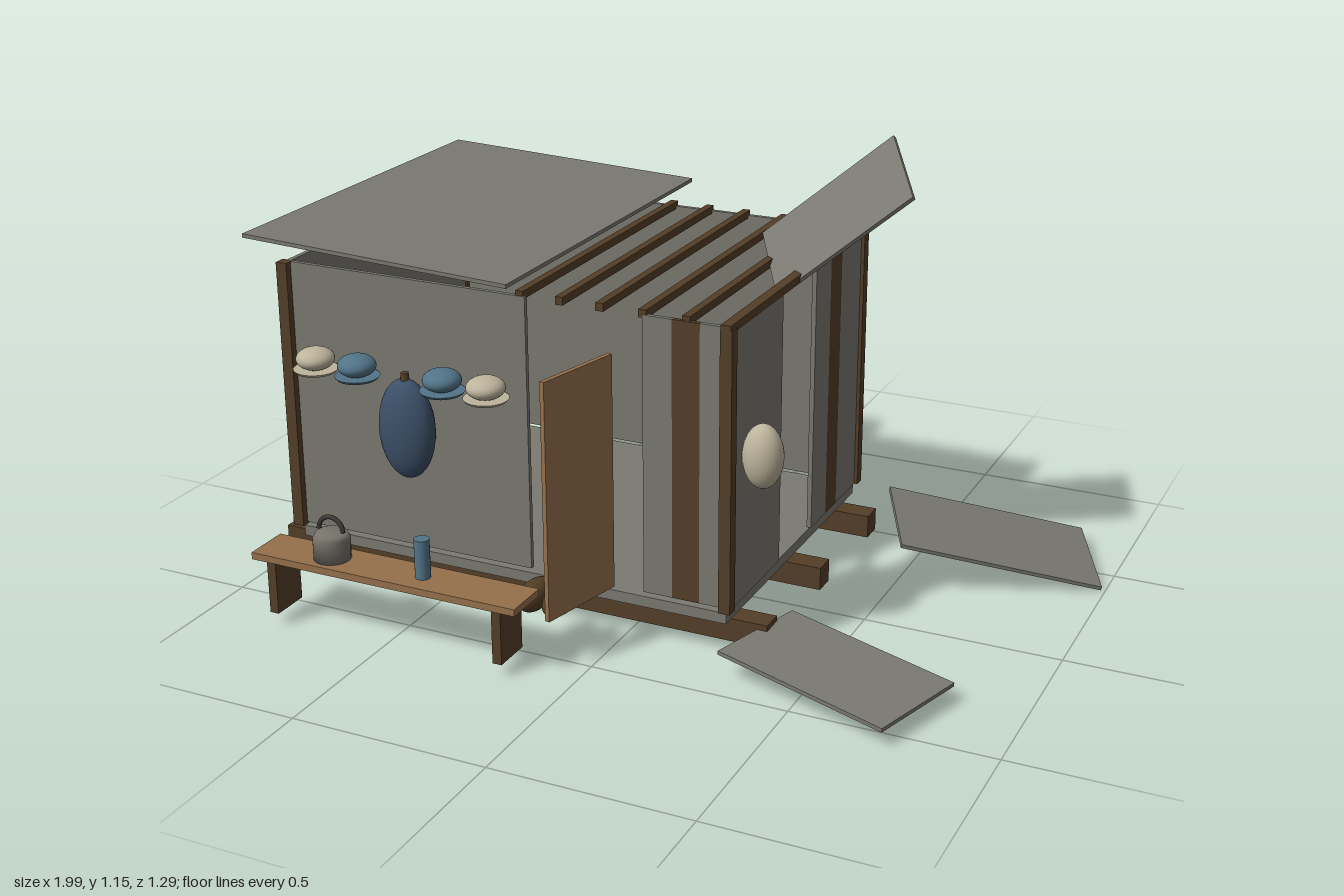
import * as THREE from 'three';

const mat = (name, color) => {
  const m = new THREE.MeshStandardMaterial({ color });
  m.name = name;
  return m;
};

export function createModel() {
  const group = new THREE.Group();
  const grey = mat('weathered grey', 0x7a7971);
  const dark = mat('dark timber', 0x543f27);
  const wood = mat('light wood', 0x96704b);
  const cream = mat('cream', 0xbdb49c);
  const blue = mat('glazed blue', 0x527488);
  const navy = mat('dark blue', 0x3c5068);
  const metal = mat('dull metal', 0x77746c);
  const iron = mat('iron', 0x3c3b38);

  const add = (name, geo, m, x = 0, y = 0, z = 0) => {
    const mesh = new THREE.Mesh(geo, m);
    mesh.name = name;
    mesh.position.set(x, y, z);
    group.add(mesh);
    return mesh;
  };
  // box given by its limits on each axis
  const box = (name, m, x0, x1, y0, y1, z0, z1) =>
    add(name, new THREE.BoxGeometry(x1 - x0, y1 - y0, z1 - z0), m, (x0 + x1) / 2, (y0 + y1) / 2, (z0 + z1) / 2);
  const ball = (name, m, x, y, z, rx, ry, rz) =>
    add(name, new THREE.SphereGeometry(1, 28, 18), m, x, y, z).scale.set(rx, ry, rz);
  // thin board from one corner and its two neighbours
  const board = (name, m, corner, endA, endB, t) => {
    const o = new THREE.Vector3(...corner);
    const a = new THREE.Vector3(...endA).sub(o);
    const b = new THREE.Vector3(...endB).sub(o);
    const n = new THREE.Vector3().crossVectors(b, a).normalize();
    const geo = new THREE.BoxGeometry(a.length(), t, b.length());
    const mesh = add(name, geo, m);
    mesh.position.copy(o).addScaledVector(a, 0.5).addScaledVector(b, 0.5);
    const ax = a.clone().normalize();
    const bz = new THREE.Vector3().crossVectors(ax, n);
    mesh.quaternion.setFromRotationMatrix(new THREE.Matrix4().makeBasis(ax, n, bz));
  };

  // base: skids and floor
  for (const z of [0.26, -0.085, -0.43]) box('skid', dark, -1, 0.36, 0.03, 0.09, z - 0.03, z + 0.03);
  box('floor', grey, -0.91, 0.275, 0.1, 0.128, -0.51, 0.34);

  // solid walls
  box('backWall', grey, -0.91, 0.28, 0.135, 0.84, -0.52, -0.508);
  box('endWall', grey, -0.917, -0.905, 0.135, 0.84, -0.51, 0.335);
  box('frontWall', grey, -0.905, -0.245, 0.14, 0.84, 0.328, 0.34);

  // plank walls around the two openings: [from, to, material]
  for (const [a, b, m] of [[0.06, 0.135, grey], [0.135, 0.205, dark], [0.205, 0.27, grey]])
    box('frontPlank', m, a, b, 0.14, 0.84, 0.328, 0.34);
  for (const [a, b, m] of [[0.035, 0.335, grey], [-0.28, -0.18, grey], [-0.355, -0.28, dark], [-0.5, -0.355, grey]])
    box('sidePlank', m, 0.272, 0.284, 0.135, 0.84, a, b);

  // corner posts
  for (const x of [-0.915, 0.278])
    for (const z of [0.344, -0.508]) box('cornerPost', dark, x - 0.015, x + 0.015, 0.135, 0.84, z - 0.015, z + 0.015);

  // open roof frame and remaining roof sheet
  for (const x of [-0.26, -0.155, -0.05, 0.06, 0.17])
    box('rafter', dark, x - 0.01, x + 0.01, 0.832, 0.852, -0.52, 0.338);
  box('endRail', dark, 0.265, 0.29, 0.832, 0.852, -0.525, 0.36);
  board('roofSheet', grey, [-0.975, 0.92, -0.6], [-0.245, 0.89, -0.6], [-0.975, 0.92, 0.425], 0.01);

  // displaced boards
  board('looseRoofBoard', grey, [0.12, 0.885, -0.24], [0.43, 1.15, -0.31], [0.235, 0.79, -0.04], 0.01);
  board('fallenBoard', grey, [0.375, 0.072, 0.165], [0.83, 0.05, 0.305], [0.29, 0.07, 0.425], 0.01);
  board('fallenBoard', grey, [0.415, 0.181, -0.405], [0.87, 0.048, -0.65], [0.535, 0.141, -0.16], 0.01);

  // open door
  board('door', wood, [-0.022, 0.14, 0.342], [-0.075, 0.14, 0.575], [-0.022, 0.735, 0.342], 0.012);

  // bench
  box('benchTop', wood, -0.855, -0.125, 0.172, 0.19, 0.52, 0.64);
  for (const x of [-0.803, -0.178]) box('benchLeg', dark, x - 0.012, x + 0.012, 0.035, 0.172, 0.535, 0.635);

  // kettle and tumbler on the bench
  const kettle = [[0, 0], [0.046, 0], [0.046, 0.055], [0.038, 0.068], [0, 0.07]].map(p => new THREE.Vector2(...p));
  add('kettle', new THREE.LatheGeometry(kettle, 24), metal, -0.66, 0.19, 0.58);
  add('kettleHandle', new THREE.TorusGeometry(0.034, 0.006, 8, 20, Math.PI), iron, -0.66, 0.263, 0.58);
  add('tumbler', new THREE.CylinderGeometry(0.019, 0.019, 0.1, 20), blue, -0.405, 0.24, 0.58);

  // bowls on saucers along the front wall
  for (const [x, m] of [[-0.805, cream], [-0.685, blue], [-0.445, blue], [-0.325, cream]]) {
    ball('bowl', m, x, 0.62, 0.395, 0.048, 0.028, 0.048);
    add('saucer', new THREE.CylinderGeometry(0.056, 0.05, 0.007, 28), m, x, 0.591, 0.395);
  }

  // hanging vessels and a pair of shoes
  ball('hangingVessel', navy, -0.565, 0.467, 0.37, 0.076, 0.13, 0.048);
  add('vesselPeg', new THREE.CylinderGeometry(0.01, 0.012, 0.02, 10), dark, -0.565, 0.602, 0.37);
  ball('sideVessel', cream, 0.33, 0.508, 0.258, 0.05, 0.08, 0.046);
  ball('shoe', dark, -0.165, 0.143, 0.465, 0.033, 0.037, 0.067);
  ball('shoe', dark, -0.1, 0.143, 0.465, 0.033, 0.037, 0.067);

  return group;
}
